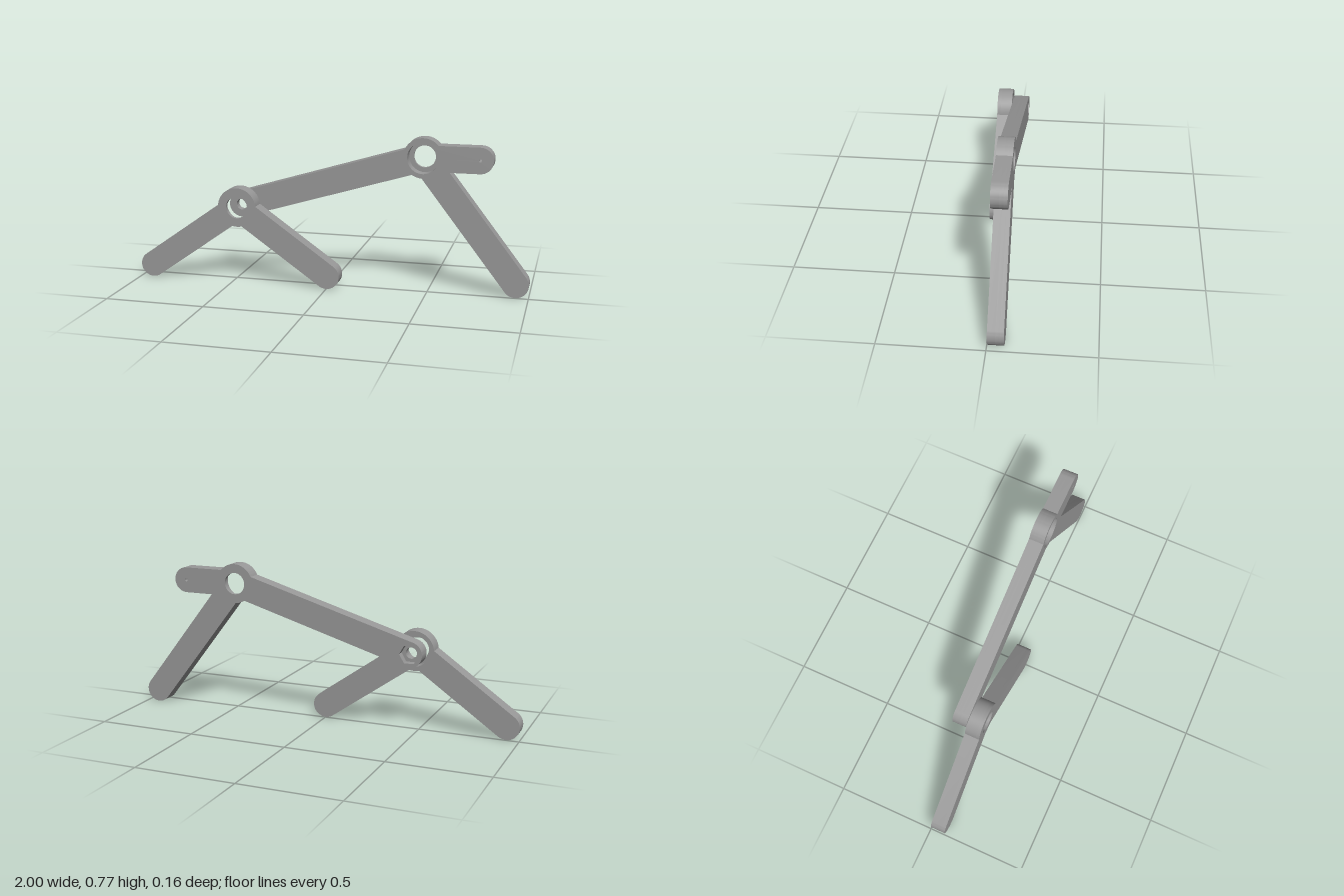
import * as THREE from 'three';
import { toCreasedNormals } from 'three/addons/utils/BufferGeometryUtils.js';

const HUB = 0.1, HALF = 0.065, SEG = 24;

// Outline of a hub with round-ended arms; tips are listed counter-clockwise
function outline([cx, cy], tips) {
  const pts = [];
  const arc = (x, y, r, a0, a1) => {
    for (let i = 0; i <= SEG; i++) {
      const a = a0 + (a1 - a0) * i / SEG;
      pts.push(new THREE.Vector2(x + r * Math.cos(a), y + r * Math.sin(a)));
    }
  };
  const spread = Math.asin(HALF / HUB);
  const angles = tips.map(([x, y]) => Math.atan2(y - cy, x - cx));
  tips.forEach(([x, y], i) => {
    const a = angles[i];
    arc(x, y, HALF, a - Math.PI / 2, a + Math.PI / 2);
    let gap = angles[(i + 1) % tips.length] - a;
    while (gap <= 0) gap += 2 * Math.PI;
    if (gap > 2 * spread) {
      arc(cx, cy, HUB, a + spread, a + gap - spread);
    } else { // neighbouring arms meet in a corner outside the hub
      const d = HALF / Math.sin(gap / 2), m = a + gap / 2;
      pts.push(new THREE.Vector2(cx + d * Math.cos(m), cy + d * Math.sin(m)));
    }
  });
  return pts;
}

// Regular hole: many sides for a bore, six for a nut pocket
function hole([x, y], r, sides = 48) {
  const pts = [];
  for (let i = 0; i < sides; i++) {
    const a = -i / sides * 2 * Math.PI;
    pts.push(new THREE.Vector2(x + r * Math.cos(a), y + r * Math.sin(a)));
  }
  return new THREE.Path(pts);
}

export function createModel() {
  const model = new THREE.Group();
  model.name = 'hingedLinkage';
  const grey = new THREE.MeshStandardMaterial({ color: 0x999999 });
  grey.name = 'grey';

  const layer = (group, name, pts, holes, z0, z1) => {
    const shape = new THREE.Shape(pts);
    shape.holes = holes;
    const geo = new THREE.ExtrudeGeometry(shape, { depth: z1 - z0, bevelEnabled: false });
    geo.translate(0, 0, z0);
    const mesh = new THREE.Mesh(toCreasedNormals(geo, 0.5), grey);
    mesh.name = name;
    group.add(mesh);
  };

  // Front bracket: two legs, bearing seat opening to the back
  const pivot = [-0.468, 0.395];
  const front = new THREE.Group();
  front.name = 'frontBracket';
  const frontPts = outline(pivot, [[-0.935, 0.066], [0, 0.066]]);
  layer(front, 'frontBracketSeat', frontPts, [hole(pivot, 0.078)], 0.004, 0.062);
  layer(front, 'frontBracketLip', frontPts, [hole(pivot, 0.056)], 0.062, 0.08);

  // Rear bracket: long arm, leg and tab, bearing seat opening to the front
  const hub = [0.466, 0.675], tab = [0.745, 0.675];
  const rear = new THREE.Group();
  rear.name = 'rearBracket';
  const rearPts = outline(hub, [tab, pivot, [0.935, 0.066]]);
  const rearLayer = (name, bore, pivotHole, z0, z1) =>
    layer(rear, name, rearPts, [hole(hub, bore), pivotHole, hole(tab, 0.008, 16)], z0, z1);
  rearLayer('rearBracketLip', 0.055, hole(pivot, 0.05, 6), -0.08, -0.062);
  rearLayer('rearBracketNutPocket', 0.078, hole(pivot, 0.05, 6), -0.062, -0.042);
  rearLayer('rearBracketSeat', 0.078, hole(pivot, 0.028), -0.042, -0.004);

  model.add(front, rear);
  return model;
}
